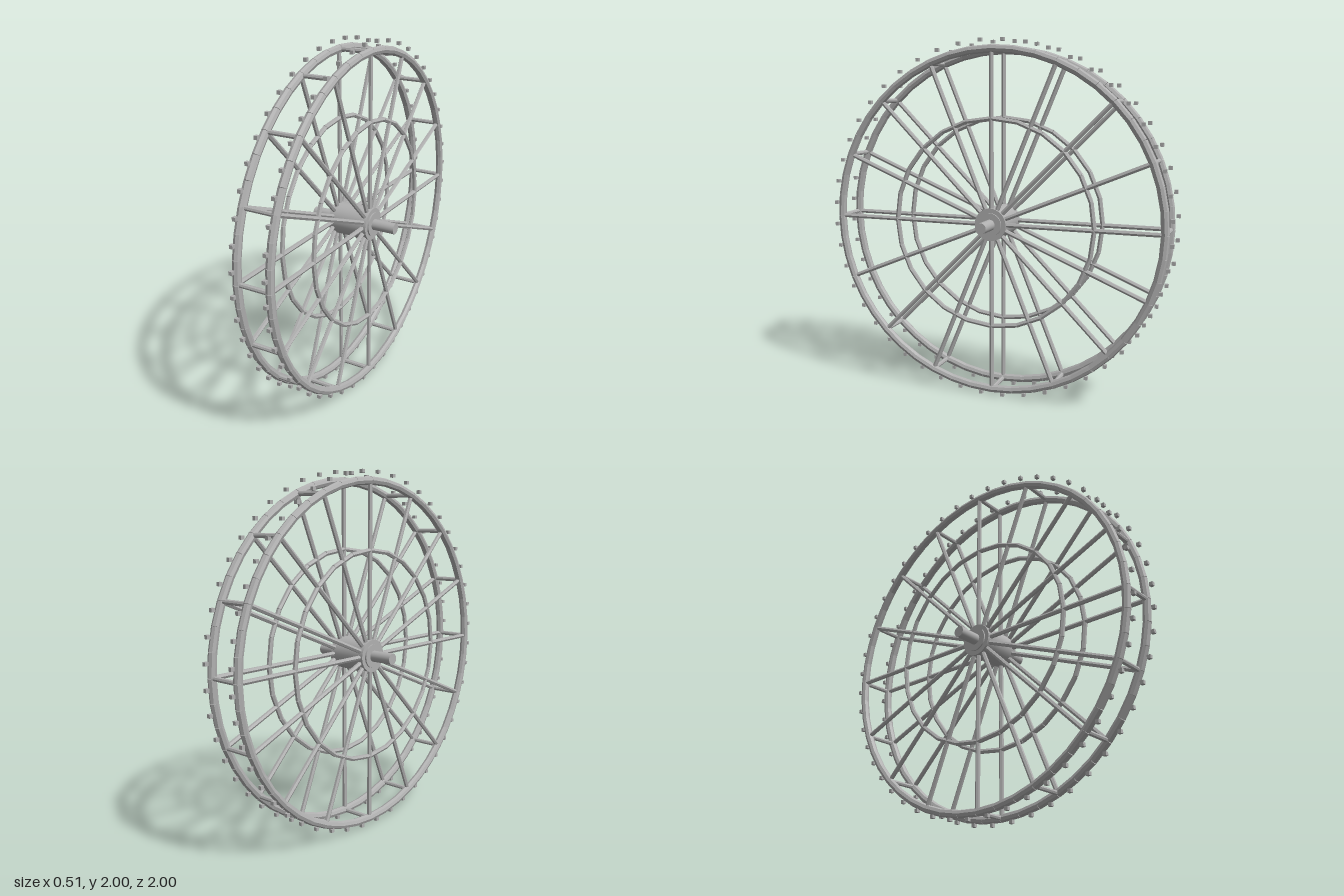
import * as THREE from 'three';

const steel = new THREE.MeshStandardMaterial({ color: 0xb0b0b0 });
steel.name = 'steel grey';

const SIDE_X = 0.095;    // distance of each wheel side from the middle
const RIM_R = 0.953;
const AXLE_Y = 0.99;
const SPOKES = 16;
const LAMPS = 48;

function add(parent, name, geometry) {
  const mesh = new THREE.Mesh(geometry, steel);
  mesh.name = name;
  parent.add(mesh);
  return mesh;
}

// Point on a circle in the wheel plane
const onWheel = (x, radius, angle) =>
  new THREE.Vector3(x, radius * Math.cos(angle), radius * Math.sin(angle));

// Faceted bar between two points
function bar(parent, name, a, b, radius, sides) {
  const dir = b.clone().sub(a);
  const geometry = new THREE.CylinderGeometry(
    radius, radius, dir.length(), sides, 1, false, Math.PI / 2).toNonIndexed();
  geometry.computeVertexNormals();
  const mesh = add(parent, name, geometry);
  mesh.position.copy(a).add(b).multiplyScalar(0.5);
  mesh.quaternion.setFromUnitVectors(new THREE.Vector3(0, 1, 0), dir.normalize());
}

// Ring made of straight bars
function ring(parent, name, x, radius, thickness, count, sides) {
  const step = (Math.PI * 2) / count;
  for (let i = 0; i < count; i++) {
    bar(parent, name, onWheel(x, radius, i * step), onWheel(x, radius, (i + 1) * step), thickness, sides);
  }
}

// Cylinder lying along the axle
function hubPart(parent, name, radius, length) {
  add(parent, name, new THREE.CylinderGeometry(radius, radius, length, 32)).rotation.z = Math.PI / 2;
}

export function createModel() {
  const model = new THREE.Group();
  model.name = 'ferrisWheel';
  const wheel = new THREE.Group();
  wheel.name = 'wheel';
  wheel.position.y = AXLE_Y;
  model.add(wheel);

  // Hub drum, raised end flanges and axle
  hubPart(wheel, 'hubDrum', 0.091, 0.234);
  hubPart(wheel, 'hubFlange', 0.066, 0.25);
  hubPart(wheel, 'axle', 0.031, 0.514);

  // Lamps stand in a circle set slightly higher than the axle
  const lamps = new THREE.Group();
  lamps.name = 'lamps';
  lamps.position.y = 1;
  model.add(lamps);

  // Two matching sides: rim, inner ring, spokes and lamps
  for (const x of [-SIDE_X, SIDE_X]) {
    const side = new THREE.Group();
    side.name = x > 0 ? 'leftSide' : 'rightSide';
    wheel.add(side);
    ring(side, 'rimSegment', x, RIM_R, 0.0225, 48, 8);
    ring(side, 'innerRingSegment', x, 0.582, 0.0135, 24, 6);
    for (let i = 0; i < SPOKES; i++) {
      const a = (i / SPOKES) * Math.PI * 2;
      bar(side, 'spoke', onWheel(x, 0.03, a), onWheel(x, RIM_R, a), 0.013, 6);
    }
    for (let i = 0; i < LAMPS; i++) {
      const lamp = add(lamps, 'lamp', new THREE.BoxGeometry(0.02, 0.02, 0.02));
      lamp.position.copy(onWheel(x, 0.992, ((i + 0.5) / LAMPS) * Math.PI * 2));
    }
  }

  // Cross beams joining the two rims
  for (let i = 0; i < SPOKES; i++) {
    const a = (i / SPOKES) * Math.PI * 2;
    bar(wheel, 'crossBeam', onWheel(-SIDE_X, RIM_R, a), onWheel(SIDE_X, RIM_R, a), 0.013, 8);
  }
  return model;
}
